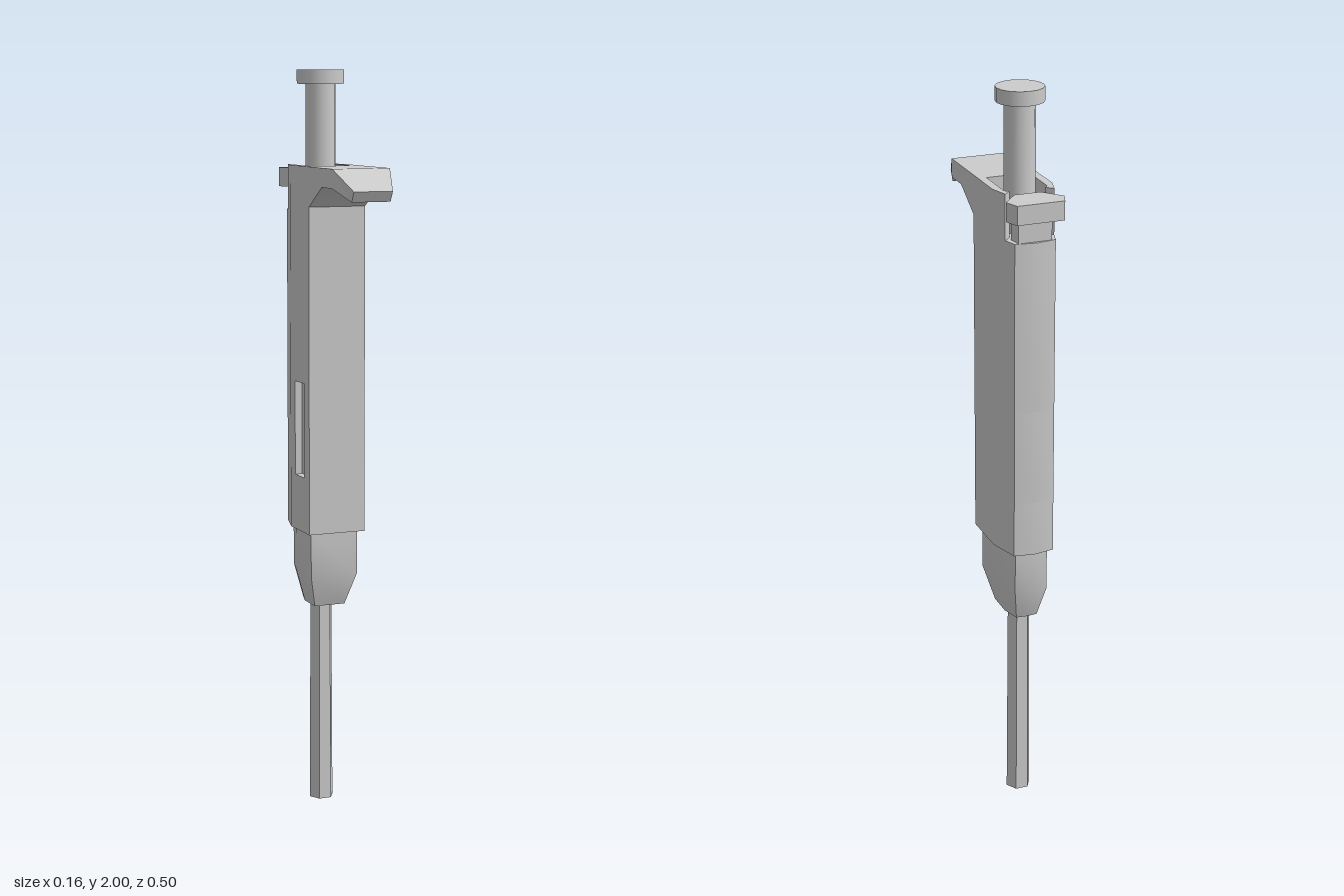
import * as THREE from 'three';
import { toCreasedNormals } from 'three/addons/utils/BufferGeometryUtils.js';

const material = new THREE.MeshStandardMaterial({ color: 0xcccccc });
const AXIS_Z = -0.106; // z of the plunger and tip axis

// Mirror a +x half outline of [x, z] points into a full closed outline.
const mirror = (half) => [...half, ...half.filter(([x]) => x > 0).reverse().map(([x, z]) => [-x, z])];

// Vertical prism from a plan outline of [x, z] points.
function prism(outline, y0, y1, steps = 1) {
  const shape = new THREE.Shape(outline.map(([x, z]) => new THREE.Vector2(x, -z)));
  const geo = new THREE.ExtrudeGeometry(shape, { depth: y1 - y0, bevelEnabled: false, steps });
  return geo.rotateX(-Math.PI / 2).translate(0, y0, 0);
}

// Sideways prism from a side profile of [z, y] points, centred on x = 0.
function sidePrism(profile, width) {
  const shape = new THREE.Shape(profile.map(([z, y]) => new THREE.Vector2(-z, y)));
  const geo = new THREE.ExtrudeGeometry(shape, { depth: width, bevelEnabled: false });
  return geo.rotateY(Math.PI / 2).translate(-width / 2, 0, 0);
}

// Move every vertex by a rule.
function reshape(geo, rule) {
  const p = geo.attributes.position;
  const v = new THREE.Vector3();
  for (let i = 0; i < p.count; i++) {
    rule(v.fromBufferAttribute(p, i));
    p.setXYZ(i, v.x, v.y, v.z);
  }
  return geo;
}

export function createModel() {
  const model = new THREE.Group();
  const add = (name, geo, parent = model) => {
    const mesh = new THREE.Mesh(geo, material);
    mesh.name = name;
    parent.add(mesh);
    return mesh;
  };
  const addSoft = (name, geo, parent) => add(name, toCreasedNormals(geo, 0.6), parent);

  // Handle: three stacked lengths, the middle one recessed for the window
  const handle = new THREE.Group();
  handle.name = 'handle';
  model.add(handle);
  const plan = mirror([[0.08, 0.01], [0.08, -0.125], [0.055, -0.212], [0, -0.221]]);
  const recess = [[-0.08, -0.092], [-0.06, -0.092], [-0.06, -0.027], [-0.08, -0.027]];
  const windowPlan = [...plan.slice(0, -1), ...recess, plan[plan.length - 1]];
  addSoft('handleLower', prism(plan, 0.77, 0.92), handle);
  addSoft('handleWindow', prism(windowPlan, 0.92, 1.175), handle);
  addSoft('handleUpper', prism(plan, 1.175, 1.63), handle);

  // Head: walls around the plunger pocket, open at the back
  const wall = [
    [0.08, 0.01], [0.08, -0.125], [0.066, -0.175], [0.048, -0.157],
    [0.058, -0.145], [0.058, -0.025],
  ];
  addSoft('head', prism(mirror(wall), 1.63, 1.75));

  // Finger hook reaching forward, its tip narrowing
  addSoft('fingerHook', sidePrism(
    [[0.01, 1.645], [0.1, 1.7], [0.17, 1.7], [0.17, 1.75], [0.01, 1.75]], 0.16));
  const hookTip = sidePrism([[0.17, 1.7], [0.235, 1.668], [0.25, 1.695], [0.17, 1.75]], 0.16);
  add('fingerHookTip', reshape(hookTip, (v) => {
    if (v.z > 0.2) v.x *= 0.67;
  })).geometry.computeVertexNormals();

  // Ejector button at the back, on a short stalk
  add('ejectorStalk', prism(mirror([[0.035, -0.155], [0.05, -0.175], [0.045, -0.212]]), 1.63, 1.69));
  add('ejectorButton', prism(
    mirror([[0.035, -0.158], [0.078, -0.21], [0.063, -0.25]]), 1.69, 1.74));

  // Plunger rod and cap
  const rod = add('plungerRod', new THREE.CylinderGeometry(0.04, 0.04, 0.345, 16));
  rod.position.set(0, 1.7975, AXIS_Z);
  const cap = add('plungerCap', new THREE.CylinderGeometry(0.0625, 0.0625, 0.037, 16));
  cap.position.set(0, 1.9815, AXIS_Z);

  // Nose: straight collar that tapers at the bottom
  const nosePlan = mirror([[0.067, -0.01], [0.067, -0.12], [0.045, -0.195], [0, -0.2]]);
  const nose = reshape(prism(nosePlan, 0.56, 0.77, 2), (v) => {
    if (v.y < 0.6) {
      v.x *= 0.65;
      v.z = AXIS_Z + (v.z - AXIS_Z) * 0.66;
    } else if (v.y < 0.7) v.y = 0.65;
  });
  addSoft('nose', nose);

  // Six-sided tip shaft
  const shaft = new THREE.CylinderGeometry(0.031, 0.034, 0.57, 6, 1, false, Math.PI / 6);
  add('tipShaft', toCreasedNormals(shaft, 0.5)).position.set(0, 0.285, AXIS_Z);

  return model;
}
